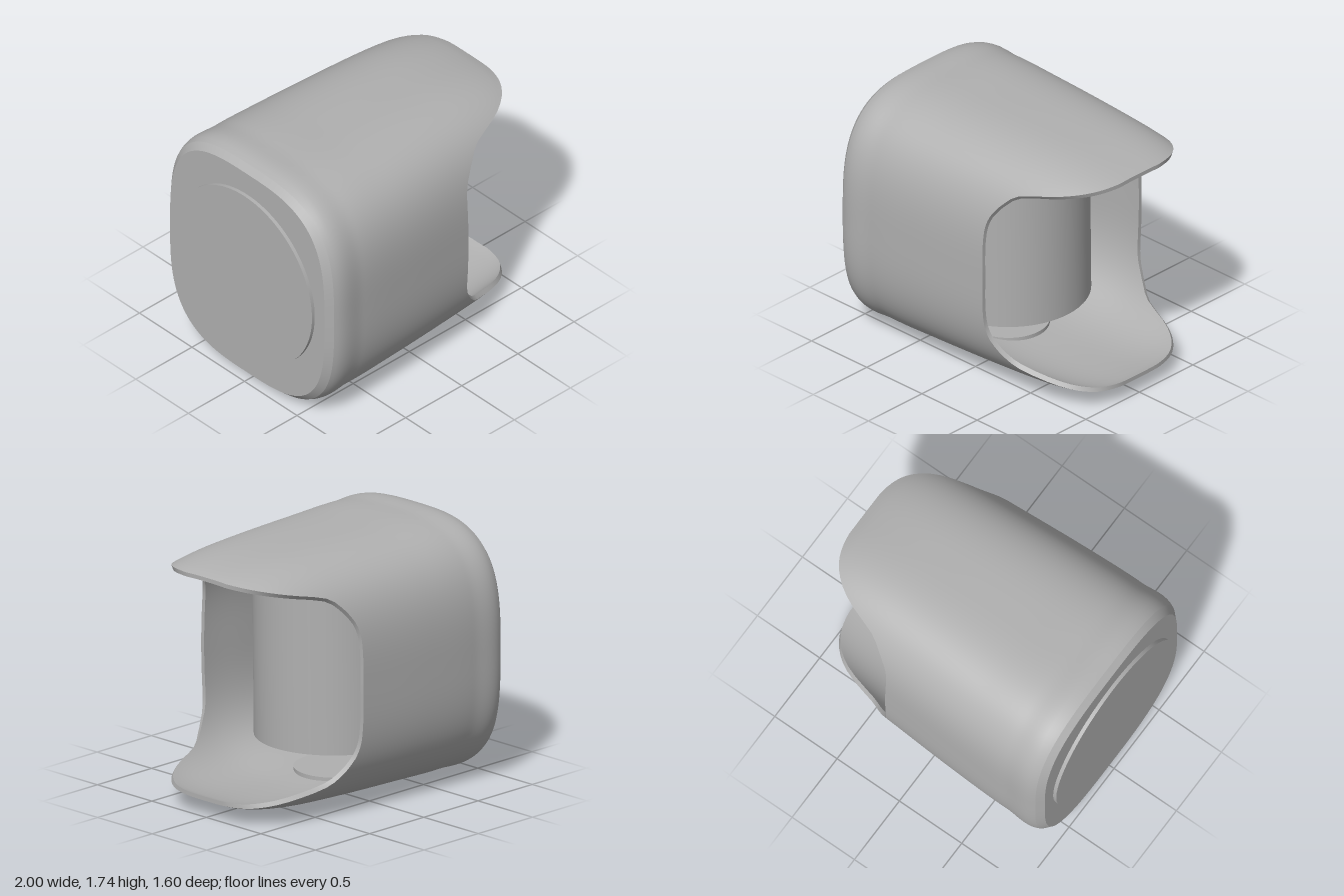
import * as THREE from 'three';

const CY = 0.872;      // height of the shell's axis
const SIDES = 144;     // points around a section
const POWER = 3.15;    // superellipse exponent of the sections

// Smooth table lookup: returns a function of x giving an array of values
function table(xs, values) {
  const size = values.length / xs.length;
  const lookup = new THREE.CubicInterpolant(xs, values, size, new Float32Array(size));
  return (x) => Array.from(lookup.evaluate(x));
}

// Half width (z) and half height (y) along x
const outer = table(
  [-0.975, -0.93, -0.68, -0.3, 0.3, 0.6, 0.8, 0.9, 0.96, 1],
  [0.735, 0.812, 0.778, 0.85, 0.79, 0.868, 0.78, 0.863, 0.744, 0.851,
    0.725, 0.835, 0.71, 0.811, 0.693, 0.792, 0.675, 0.777, 0.655, 0.762]);
const inner = table(
  [-0.88, -0.8, 0, 0.3, 0.6, 0.8, 0.9, 0.96, 1],
  [0.67, 0.75, 0.69, 0.77, 0.712, 0.805, 0.717, 0.817, 0.698, 0.804,
    0.683, 0.781, 0.666, 0.762, 0.648, 0.748, 0.628, 0.734]);

// Where the mouth is cut, from the distance above or below the axis
const mouthCut = table(
  [0, 0.33, 0.38, 0.46, 0.5, 0.58, 0.65, 0.704, 0.758],
  [0.3, 0.3, 0.305, 0.33, 0.355, 0.42, 0.52, 0.76, 1]);

// Point of a section at angle index i, optionally shrunk towards the axis
function sectionPoint(profile, x, i, scale = 1) {
  const a = (i / SIDES) * Math.PI * 2;
  const c = Math.cos(a), s = Math.sin(a);
  const r = scale * Math.pow(Math.abs(c) ** POWER + Math.abs(s) ** POWER, -1 / POWER);
  const [hz, hy] = profile(x);
  return [x, CY + hy * r * s, hz * r * c];
}

// End of the shell at each angle, found by bisection
const mouth = Array.from({ length: SIDES }, (_, i) => {
  let lo = 0.2, hi = 1;
  for (let k = 0; k < 30; k++) {
    const x = (lo + hi) / 2;
    const y = sectionPoint(outer, x, i)[1];
    if (x < mouthCut(Math.abs(y - CY))[0]) lo = x; else hi = x;
  }
  return (lo + hi) / 2;
});

// Closed band of quads; pointAt(u, i) gives the point at u = 0..1 and angle i
function band(name, rows, pointAt, material) {
  const positions = [], index = [];
  for (let r = 0; r <= rows; r++) {
    for (let i = 0; i < SIDES; i++) positions.push(...pointAt(r / rows, i));
  }
  for (let r = 0; r < rows; r++) {
    for (let i = 0; i < SIDES; i++) {
      const j = (i + 1) % SIDES;
      const a = r * SIDES + i, b = a + SIDES, c = r * SIDES + j, d = c + SIDES;
      index.push(a, b, d, a, d, c);
    }
  }
  const geometry = new THREE.BufferGeometry();
  geometry.setAttribute('position', new THREE.Float32BufferAttribute(positions, 3));
  geometry.setIndex(index);
  geometry.computeVertexNormals();
  const mesh = new THREE.Mesh(geometry, material);
  mesh.name = name;
  return mesh;
}

export function createModel() {
  const grey = new THREE.MeshStandardMaterial({ color: 0xb0b0b0 });
  grey.name = 'grey';
  const model = new THREE.Group();
  model.name = 'hoodedHousing';

  // Shell: back face, bevel, outside, rim, inside and inner back wall
  const shell = new THREE.Group();
  shell.name = 'shell';
  const mix = THREE.MathUtils.lerp;
  shell.add(
    band('backFace', 1, (u, i) => sectionPoint(outer, -0.975, i, u), grey),
    band('backBevel', 1, (u, i) => sectionPoint(outer, mix(-0.975, -0.93, u), i), grey),
    band('outerSkin', 50, (u, i) => sectionPoint(outer, mix(-0.93, mouth[i], u), i), grey),
    band('rim', 1, (u, i) => sectionPoint(u ? inner : outer, mouth[i], i), grey),
    band('innerSkin', 50, (u, i) => sectionPoint(inner, mix(mouth[i], -0.88, u), i), grey),
    band('innerBackWall', 1, (u, i) => sectionPoint(inner, -0.88, i, 1 - u), grey),
  );
  model.add(shell);

  const cylinder = (name, radius, height, x, y) => {
    const mesh = new THREE.Mesh(new THREE.CylinderGeometry(radius, radius, height, 96), grey);
    mesh.name = name;
    mesh.position.set(x, y, 0);
    model.add(mesh);
    return mesh;
  };

  // Raised round plate on the back
  cylinder('backPlate', 0.642, 0.03, -0.985, CY + 0.003).rotation.z = Math.PI / 2;

  // Slightly tilted drum inside, with a round seat below it
  cylinder('drum', 0.533, 1.215, -0.185, 0.929).rotation.x = 0.012;
  cylinder('drumSeat', 0.27, 0.04, -0.185, 0.07);

  return model;
}
